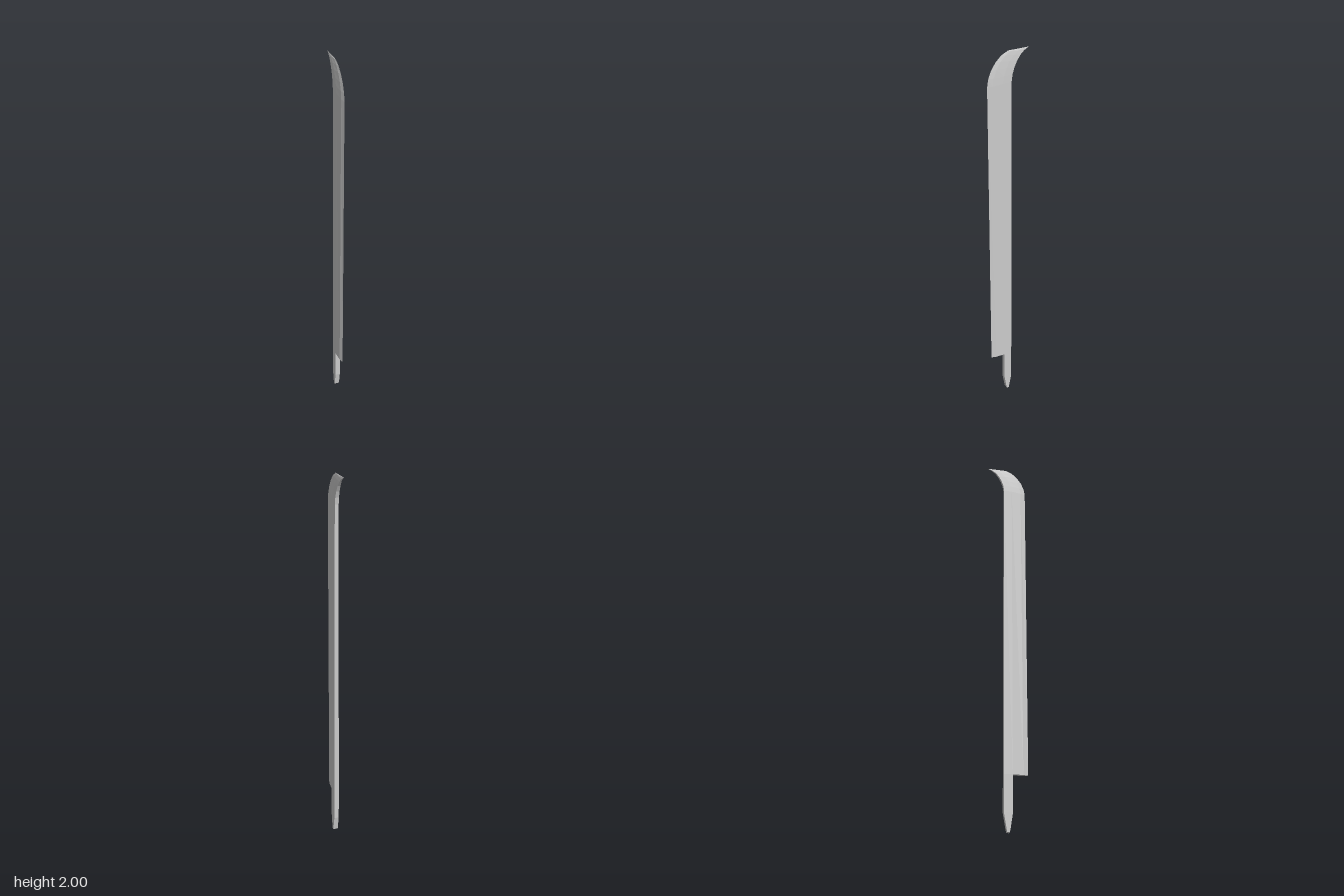
import * as THREE from 'three';

const material = new THREE.MeshStandardMaterial({ color: 0xcccccc, flatShading: true });

// Skin a series of closed rings (bottom to top) and cap both ends.
function loft(name, rings) {
  const n = rings[0].length;
  const index = [];
  for (let r = 0; r < rings.length - 1; r++) {
    for (let i = 0; i < n; i++) {
      const a = r * n + i, b = r * n + (i + 1) % n;
      index.push(a, a + n, b + n, a, b + n, b);
    }
  }
  const top = (rings.length - 1) * n;
  for (let i = 1; i < n - 1; i++) {
    index.push(0, i, i + 1, top, top + i + 1, top + i);
  }
  const geometry = new THREE.BufferGeometry();
  geometry.setAttribute('position', new THREE.Float32BufferAttribute(rings.flat(2), 3));
  geometry.setIndex(index);
  const flat = geometry.toNonIndexed();
  flat.computeVertexNormals();
  const mesh = new THREE.Mesh(flat, material);
  mesh.name = name;
  return mesh;
}

// Blade section: flat spine, parallel flanks, then two bevels to the cutting edge.
function bladeRing([backZ, backY, edgeZ, edgeY, w]) {
  const at = (x, t) => [x, backY + (edgeY - backY) * t, backZ + (edgeZ - backZ) * t];
  return [at(w, 0), at(w, 0.36), at(w * 0.62, 0.79), at(0, 1),
    at(-w * 0.62, 0.79), at(-w, 0.36), at(-w, 0)];
}

// Rectangular tang section.
function tangRing([y, z0, z1, w]) {
  return [[w, y, z0], [w, y, z1], [-w, y, z1], [-w, y, z0]];
}

export function createModel() {
  const group = new THREE.Group();
  group.name = 'bladeModel';

  // Long blade sweeping back into a hooked tip: spine z, y, edge z, y, half width
  const stations = [
    [-0.013, 0.265, 0.106, 0.265, 0.013],
    [-0.013, 1.86, 0.106, 1.85, 0.0095],
    [-0.018, 1.893, 0.1, 1.887, 0.009],
    [-0.028, 1.923, 0.085, 1.925, 0.008],
    [-0.043, 1.951, 0.062, 1.958, 0.0068],
    [-0.06, 1.973, 0.034, 1.984, 0.005],
    [-0.08, 1.989, 0, 2, 0.003],
    [-0.105, 2, -0.105, 2, 0],
  ];
  group.add(loft('blade', stations.map(bladeRing)));

  // Narrow tang, tapering at its foot: y, back z, front z, half width
  const tang = [
    [0, 0.003, 0.015, 0.0132],
    [0.02, -0.001, 0.019, 0.0132],
    [0.09, -0.013, 0.03, 0.0132],
    [0.265, -0.013, 0.03, 0.013],
  ];
  group.add(loft('tang', tang.map(tangRing)));

  return group;
}
